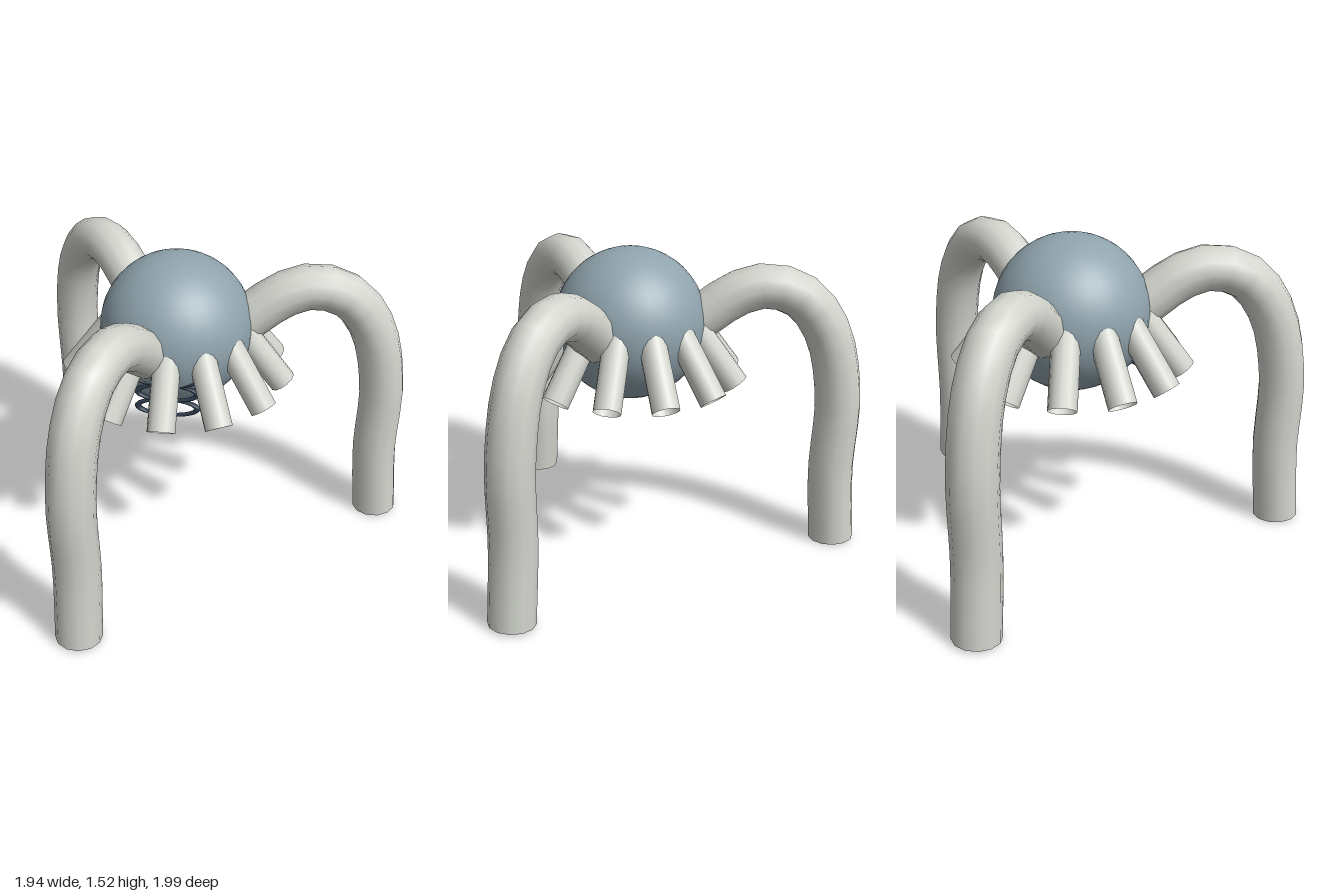
import * as THREE from 'three';

export function createModel() {
  const model = new THREE.Group();
  model.name = 'tripodPod';

  const bodyMat = new THREE.MeshStandardMaterial({ name: 'blue grey', color: 0x90a4ae });
  const tubeMat = new THREE.MeshStandardMaterial({ name: 'pale grey', color: 0xd2d4cd, side: THREE.DoubleSide });
  const ringMat = new THREE.MeshStandardMaterial({ name: 'dark navy', color: 0x2c3a4c });

  // Everything radiates from the centre of the ball
  const hub = new THREE.Group();
  hub.name = 'hub';
  hub.position.set(-0.17, 0, -0.11);
  model.add(hub);

  const add = (name, geometry, material, angle = 0) => {
    const mesh = new THREE.Mesh(geometry, material);
    mesh.name = name;
    mesh.rotation.y = -THREE.MathUtils.degToRad(angle);
    hub.add(mesh);
    return mesh;
  };

  // Ball body
  add('body', new THREE.SphereGeometry(0.37, 32, 24), bodyMat).position.y = 1.165;

  // Three arched, hollow legs: centre line as (distance from hub, height)
  const legPath = new THREE.CatmullRomCurve3([
    [0.2, 1.08], [0.378, 1.22], [0.51, 1.312], [0.663, 1.352], [0.83, 1.295],
    [0.96, 1.12], [1.03, 0.8], [1.022, 0.4], [1.046, 0.025],
  ].map(([r, y]) => new THREE.Vector3(r, y, 0)));
  const legGeo = new THREE.TubeGeometry(legPath, 20, 0.112, 12, false);
  [-11.5, 108.5, 228.5].forEach((a, i) => add('leg' + (i + 1), legGeo, tubeMat, a));

  // Twelve short open nozzles around the ball
  const nozzlePath = new THREE.LineCurve3(
    new THREE.Vector3(0.28, 1.21, 0), new THREE.Vector3(0.522, 0.888, 0));
  const nozzleGeo = new THREE.TubeGeometry(nozzlePath, 1, 0.067, 12, false);
  for (let i = 0; i < 12; i++) add('nozzle' + (i + 1), nozzleGeo, tubeMat, i * 30);

  // Flattened rings stacked on the lower front
  const ringGeo = new THREE.TorusGeometry(0.142, 0.016, 8, 32);
  [0.9, 0.98, 1.06].forEach((y, i) => {
    const ring = add('frontRing' + (i + 1), ringGeo, ringMat);
    ring.position.set(0, y, 0.32);
    ring.scale.y = 0.3;
  });

  return model;
}
